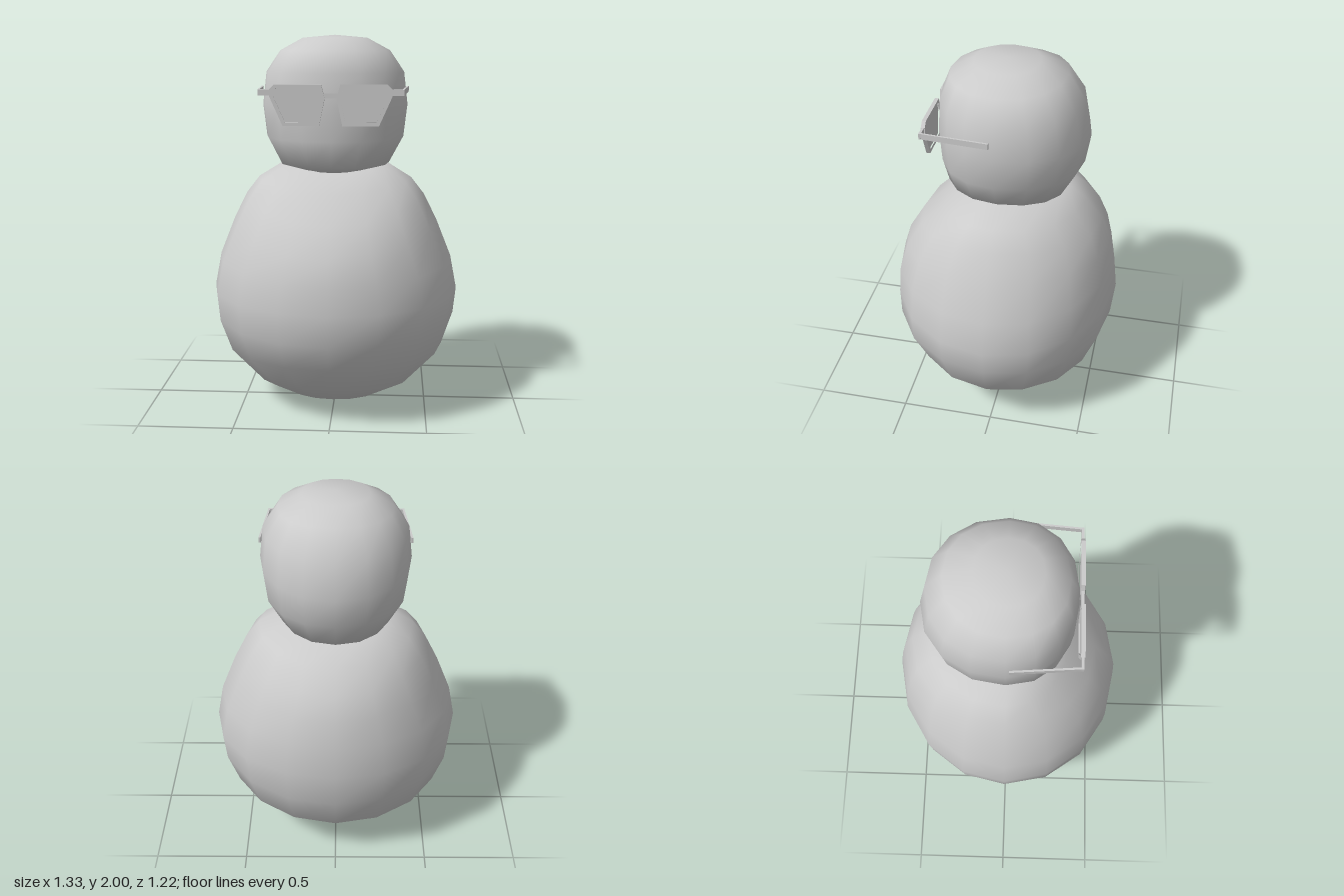
import * as THREE from 'three';

const material = new THREE.MeshStandardMaterial({ color: 0xcccccc });
const SIDES = 16;

// Rows run bottom to top: [sideY, halfWidth, frontY, frontDepth, backY, backDepth]
const BODY = [
  [0.045, 0.25, 0.05, 0.20, 0.035, 0.24],
  [0.13, 0.41, 0.19, 0.42, 0.14, 0.37],
  [0.32, 0.59, 0.33, 0.52, 0.27, 0.51],
  [0.50, 0.65, 0.48, 0.61, 0.48, 0.59],
  [0.64, 0.665, 0.64, 0.61, 0.68, 0.61],
  [0.82, 0.63, 0.78, 0.60, 0.86, 0.59],
  [1.02, 0.55, 0.91, 0.56, 1.00, 0.56],
  [1.16, 0.48, 1.06, 0.47, 1.12, 0.51],
  [1.25, 0.41, 1.20, 0.33, 1.23, 0.42],
  [1.33, 0.28, 1.29, 0.23, 1.31, 0.32],
];
const HEAD = [
  [1.295, 0.15, 1.295, 0.20, 1.295, 0.17],
  [1.33, 0.29, 1.335, 0.31, 1.31, 0.32],
  [1.47, 0.365, 1.47, 0.335, 1.46, 0.40],
  [1.64, 0.385, 1.64, 0.345, 1.62, 0.425],
  [1.81, 0.365, 1.81, 0.335, 1.80, 0.39],
  [1.92, 0.29, 1.92, 0.29, 1.94, 0.30],
  [1.985, 0.17, 1.985, 0.17, 1.99, 0.16],
];

// Smooth closed skin over the rings; power squares off the outline a little
function loft(name, rows, bottom, top, power) {
  const pos = [], index = [];
  const soften = (v) => Math.sign(v) * Math.pow(Math.abs(v), 2 / power);
  for (const [sy, w, fy, f, by, b] of rows) {
    for (let j = 0; j < SIDES; j++) {
      const a = (j / SIDES) * Math.PI * 2, s = Math.sin(a), c = Math.cos(a);
      const y = sy * s * s + (c > 0 ? fy : by) * c * c;
      pos.push(w * soften(s), y, (c > 0 ? f : b) * soften(c));
    }
  }
  const low = rows.length * SIDES, high = low + 1;
  pos.push(0, bottom, 0, 0, top, 0);
  const last = (rows.length - 1) * SIDES;
  for (let j = 0; j < SIDES; j++) {
    const k = (j + 1) % SIDES;
    for (let i = 0; i < last; i += SIDES) {
      index.push(i + j, i + k, i + SIDES + k, i + j, i + SIDES + k, i + SIDES + j);
    }
    index.push(low, k, j, high, last + j, last + k);
  }
  const geometry = new THREE.BufferGeometry();
  geometry.setAttribute('position', new THREE.Float32BufferAttribute(pos, 3));
  geometry.setIndex(index);
  geometry.computeVertexNormals();
  const mesh = new THREE.Mesh(geometry, material);
  mesh.name = name;
  return mesh;
}

// Flat plate from an outline, with an optional opening
function plate(name, outline, depth, z, opening) {
  const toPoints = (list) => list.map(([x, y]) => new THREE.Vector2(x, y));
  const shape = new THREE.Shape(toPoints(outline));
  if (opening) shape.holes.push(new THREE.Path(toPoints(opening)));
  const geometry = new THREE.ExtrudeGeometry(shape, { depth, bevelEnabled: false });
  geometry.translate(0, 0, z);
  const mesh = new THREE.Mesh(geometry, material);
  mesh.name = name;
  return mesh;
}

function createGlasses() {
  const glasses = new THREE.Group();
  glasses.name = 'glasses';
  const rim = [[0.048, 1.76], [0.28, 1.76], [0.305, 1.735], [0.305, 1.70], [0.24, 1.555], [0.058, 1.555], [0.03, 1.69], [0.036, 1.715]];
  const opening = [[0.062, 1.742], [0.27, 1.742], [0.285, 1.725], [0.285, 1.70], [0.228, 1.573], [0.072, 1.573], [0.048, 1.692]];
  const mirror = (list, s) => list.map(([x, y]) => [x * s, y]);

  for (const s of [1, -1]) {
    const side = s > 0 ? 'left' : 'right';
    glasses.add(plate(side + 'Rim', mirror(rim, s), 0.02, 0.346, mirror(opening, s)));
    glasses.add(plate(side + 'Lens', mirror(opening, s), 0.008, 0.352));

    const hinge = new THREE.Mesh(new THREE.BoxGeometry(0.065, 0.03, 0.012), material);
    hinge.name = side + 'Hinge';
    hinge.position.set(s * 0.331, 1.72, 0.356);
    glasses.add(hinge);

    // Temple arm, splayed outward towards the back
    const arm = new THREE.Mesh(new THREE.BoxGeometry(0.01, 0.03, 0.345), material);
    arm.name = side + 'Arm';
    arm.position.set(s * 0.371, 1.72, 0.188);
    arm.rotation.y = -s * 0.082;
    glasses.add(arm);
  }
  const bridge = new THREE.Mesh(new THREE.BoxGeometry(0.075, 0.025, 0.014), material);
  bridge.name = 'bridge';
  bridge.position.set(0, 1.703, 0.356);
  glasses.add(bridge);
  return glasses;
}

export function createModel() {
  const model = new THREE.Group();
  model.name = 'roundFigure';
  model.add(loft('body', BODY, 0, 1.335, 2));
  model.add(loft('head', HEAD, 1.295, 2, 2.15));
  model.add(createGlasses());
  return model;
}
